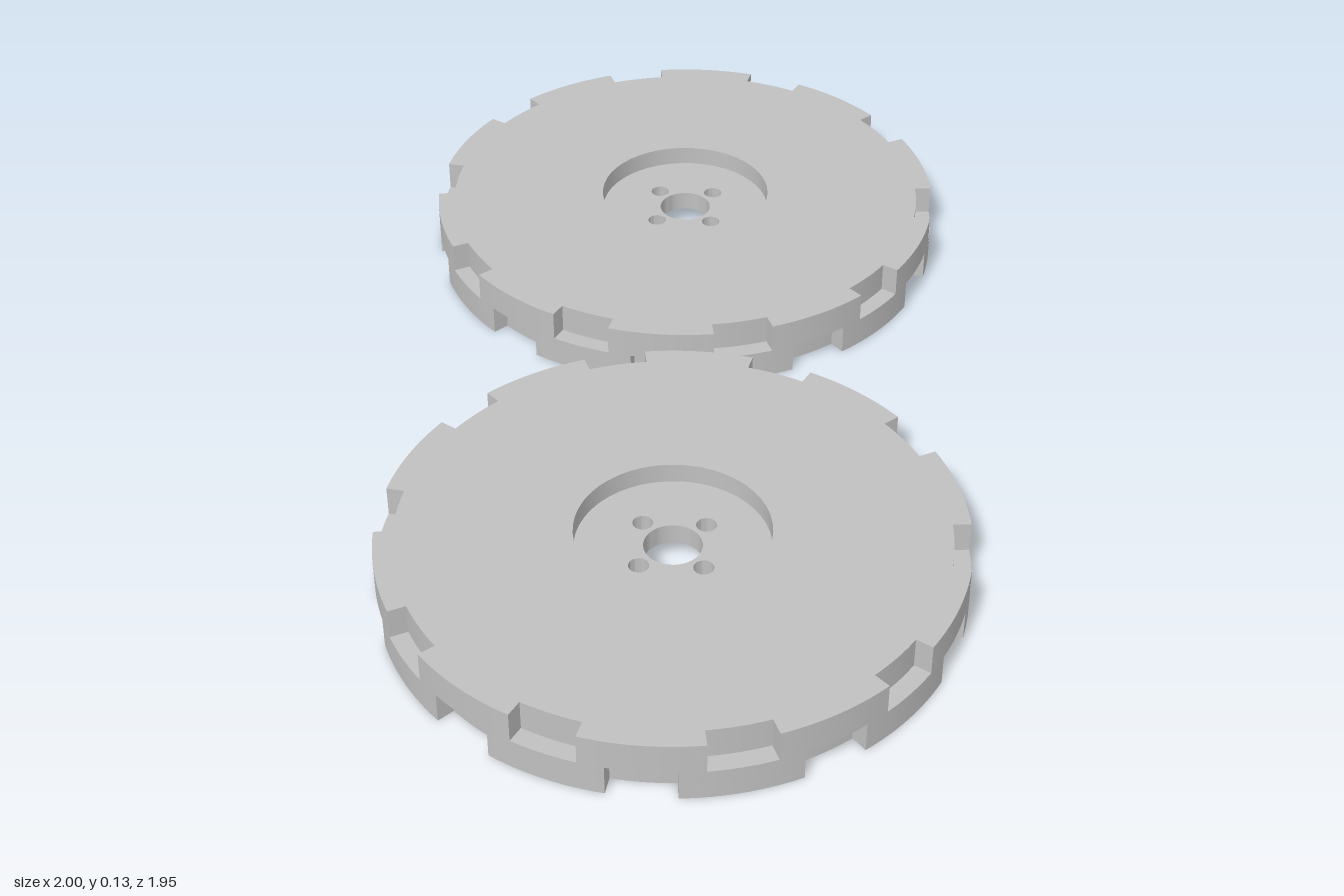
import * as THREE from 'three';
import { toCreasedNormals } from 'three/addons/utils/BufferGeometryUtils.js';

const RADIUS = 0.567;       // outer rim
const NOTCH_RADIUS = 0.531; // back wall of each notch
const HUB_RADIUS = 0.19;    // sunken hub on both faces
const HEIGHT = 0.127;
const WEB = 0.043;          // thickness left between the two hub recesses
const NOTCHES = 10;
const PITCH = (Math.PI * 2) / NOTCHES;
const NOTCH_ANGLE = THREE.MathUtils.degToRad(13);

// Full circle drawn as four arcs so that it stays finely divided
function circle(path, x, y, r) {
  for (let i = 0; i < 4; i++) {
    path.absarc(x, y, r, (i * Math.PI) / 2, ((i + 1) * Math.PI) / 2, false);
  }
  return path;
}

// Extrude a flat outline upwards, starting at height y
function slab(shape, y, height) {
  const geometry = new THREE.ExtrudeGeometry(shape, {
    depth: height, bevelEnabled: false, curveSegments: 6,
  });
  geometry.rotateX(-Math.PI / 2);
  geometry.translate(0, y, 0);
  return toCreasedNormals(geometry, 0.5);
}

// Ring with ten notches cut into its rim
function notchedRing(offset) {
  const shape = new THREE.Shape();
  for (let i = 0; i < NOTCHES; i++) {
    const start = offset + i * PITCH;
    const end = start + NOTCH_ANGLE;
    shape.absarc(0, 0, NOTCH_RADIUS, start, end, false);
    shape.absarc(0, 0, RADIUS, end, start + PITCH, false);
  }
  shape.closePath();
  shape.holes.push(circle(new THREE.Path(), 0, 0, HUB_RADIUS));
  return shape;
}

// Hub plate with a centre bore and four bolt holes
function hubPlate() {
  const shape = circle(new THREE.Shape(), 0, 0, HUB_RADIUS);
  shape.holes.push(circle(new THREE.Path(), 0, 0, 0.057));
  for (let i = 0; i < 4; i++) {
    const a = (i * Math.PI) / 2;
    shape.holes.push(circle(new THREE.Path(), 0.087 * Math.cos(a), 0.087 * Math.sin(a), 0.02));
  }
  return shape;
}

export function createModel() {
  const model = new THREE.Group();
  model.name = 'notchedDiscs';
  const steel = new THREE.MeshStandardMaterial({ color: 0xc0c0c0 });
  steel.name = 'light grey steel';

  // Upper and lower notches are staggered by half a pitch
  const parts = {
    lowerRing: slab(notchedRing(PITCH / 2), 0, HEIGHT / 2),
    upperRing: slab(notchedRing(0), HEIGHT / 2, HEIGHT / 2),
    hubPlate: slab(hubPlate(), (HEIGHT - WEB) / 2, WEB),
  };

  for (const side of [-1, 1]) {
    const disc = new THREE.Group();
    disc.name = side < 0 ? 'backRightDisc' : 'frontLeftDisc';
    for (const [name, geometry] of Object.entries(parts)) {
      const mesh = new THREE.Mesh(geometry, steel);
      mesh.name = name;
      disc.add(mesh);
    }
    disc.position.set(side * 0.433, 0, side * 0.408);
    model.add(disc);
  }
  return model;
}
